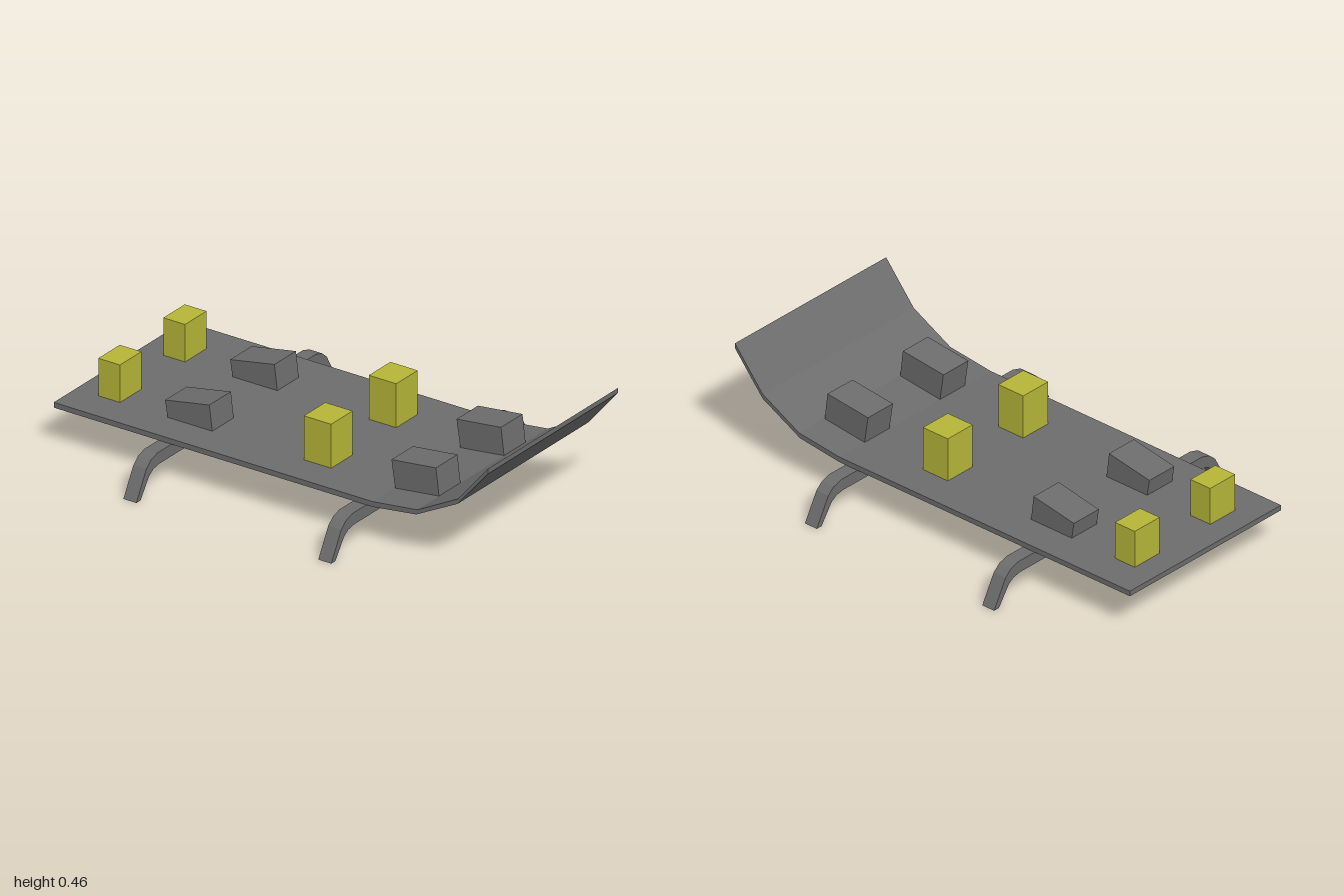
import * as THREE from 'three';

const grey = new THREE.MeshStandardMaterial({ color: 0x6c6c6c });
grey.name = 'grey';
const yellow = new THREE.MeshStandardMaterial({ color: 0xb5b538 });
yellow.name = 'yellow';

// Extrude an outline to the given depth, centred on its own depth axis
function extrude(points, depth) {
  const shape = new THREE.Shape(points.map(([x, y]) => new THREE.Vector2(x, y)));
  const geometry = new THREE.ExtrudeGeometry(shape, { depth, bevelEnabled: false });
  return geometry.translate(0, 0, -depth / 2);
}

// Extrude a side outline of [z, y] points across the width
const sideExtrude = (points, width) => extrude(points, width).rotateY(-Math.PI / 2);

export function createModel() {
  const model = new THREE.Group();
  model.name = 'sled';

  function add(name, geometry, material, x = 0, y = 0, z = 0) {
    const mesh = new THREE.Mesh(geometry, material);
    mesh.name = name;
    mesh.position.set(x, y, z);
    model.add(mesh);
  }

  // Flat deck with its front end curling up
  add('deck', sideExtrude([
    [-1, 0.155], [0.47, 0.155], [0.67, 0.18], [0.86, 0.278], [1, 0.443],
    [1, 0.464], [0.86, 0.298], [0.675, 0.201], [0.47, 0.177], [-1, 0.177],
  ], 0.85), grey);

  // Cross beams with bent-down legs at both ends
  const outer = [[0.515, 0.155], [0.558, 0.142], [0.588, 0.116], [0.653, 0]];
  const inner = [[0.626, 0], [0.57, 0.08], [0.543, 0.098], [0.505, 0.105]];
  const right = [...outer, ...inner];
  const left = right.map(([x, y]) => [-x, y]).reverse();
  const beam = extrude([...right, ...left], 0.06);
  add('frontLegs', beam, grey, 0, 0, 0.41);
  add('rearLegs', beam, grey, 0, 0, -0.488);

  // Seats and tilted foot blocks, one pair for each rider row
  const frontSeat = new THREE.BoxGeometry(0.14, 0.19, 0.126);
  const rearSeat = new THREE.BoxGeometry(0.14, 0.164, 0.1);
  const frontBlock = sideExtrude([[0.473, 0.172], [0.675, 0.192], [0.66, 0.315], [0.455, 0.292]], 0.14);
  const rearBlock = sideExtrude([[-0.576, 0.17], [-0.37, 0.17], [-0.384, 0.283], [-0.588, 0.246]], 0.14);
  for (const [side, x] of [['left', 0.212], ['right', -0.212]]) {
    add(side + 'FrontSeat', frontSeat, yellow, x, 0.266, 0.114);
    add(side + 'RearSeat', rearSeat, yellow, x, 0.252, -0.846);
    add(side + 'FrontFootBlock', frontBlock, grey, x);
    add(side + 'RearFootBlock', rearBlock, grey, x);
  }

  return model;
}
